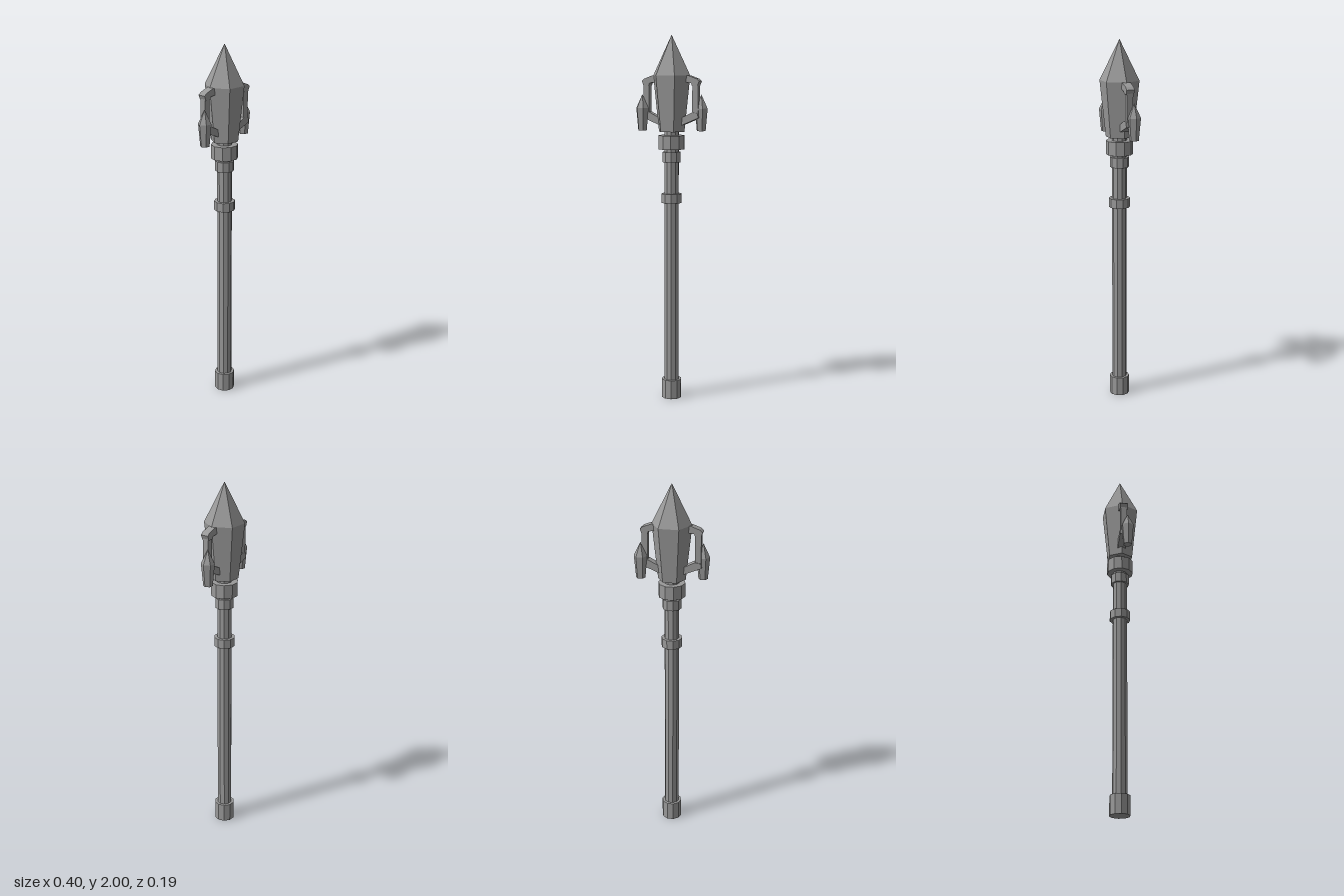
import * as THREE from 'three';

export function createModel() {
  const model = new THREE.Group();
  model.name = 'spearMace';
  const gray = new THREE.MeshStandardMaterial({ color: 0x999999 });
  gray.name = 'grayMetal';
  gray.flatShading = true;

  const add = (name, geometry, parent = model) => {
    const mesh = new THREE.Mesh(geometry, gray);
    mesh.name = name;
    parent.add(mesh);
    return mesh;
  };

  // Faceted prism between two heights, with a corner on the x axis
  const prism = (name, y0, y1, r0, r1, sides, parent) => {
    const geo = new THREE.CylinderGeometry(r1, r0, y1 - y0, sides, 1, false, Math.PI / 2);
    return add(name, geo.translate(0, (y0 + y1) / 2, 0), parent);
  };

  // Six-sided crystal: tapered body with a pointed tip
  const crystal = (name, y0, y1, y2, r0, r1, parent) => {
    const points = [[0, y0], [r0, y0], [r1, y1], [0, y2]].map(p => new THREE.Vector2(...p));
    return add(name, new THREE.LatheGeometry(points, 6, Math.PI / 2).toNonIndexed(), parent);
  };

  // Flat bracket piece cut from an outline in the xy plane
  const bracket = (name, outline, width, parent) => {
    const shape = new THREE.Shape(outline.map(p => new THREE.Vector2(...p)));
    const geo = new THREE.ExtrudeGeometry(shape, { depth: width, bevelEnabled: false });
    return add(name, geo.translate(0, 0, -width / 2), parent);
  };

  // Shaft and its bands
  prism('shaft', 0.1, 1.5, 0.04, 0.04, 10);
  prism('pommel', 0, 0.105, 0.055, 0.055, 10);
  prism('gripRing', 1.098, 1.148, 0.057, 0.057, 10);
  prism('neckRing', 1.32, 1.375, 0.051, 0.051, 10);
  prism('collar', 1.39, 1.465, 0.073, 0.073, 10);

  // Main head
  crystal('head', 1.485, 1.785, 2, 0.074, 0.107);

  // Side arms, the second turned half way round
  for (const side of ['left', 'right']) {
    const arm = new THREE.Group();
    arm.name = side + 'Arm';
    if (side === 'right') arm.rotation.y = Math.PI;
    model.add(arm);
    bracket('upperBracket', [[0.08, 1.75], [0.12, 1.745], [0.125, 1.73], [0.155, 1.73],
      [0.165, 1.755], [0.15, 1.768], [0.105, 1.785], [0.08, 1.785]], 0.044, arm);
    bracket('upright', [[0.125, 1.56], [0.157, 1.56], [0.157, 1.74], [0.125, 1.74]], 0.034, arm);
    bracket('lowerBracket', [[0.065, 1.52], [0.16, 1.56], [0.157, 1.585],
      [0.125, 1.59], [0.065, 1.56]], 0.044, arm);
    const pod = crystal('sideCrystal', 1.49, 1.61, 1.685, 0.025, 0.036, arm);
    pod.position.set(0.163, 0, -0.02);
  }
  return model;
}
